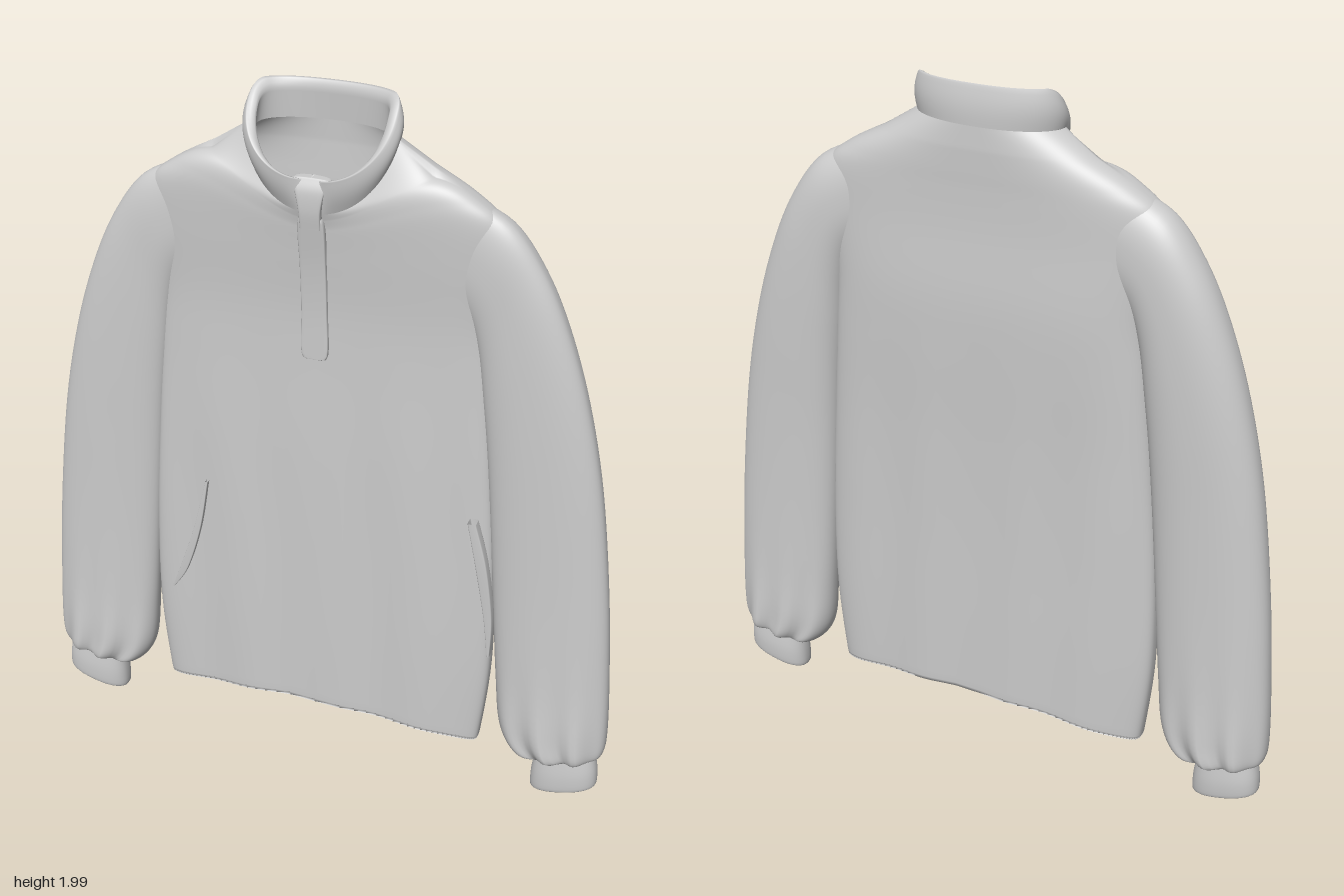
import * as THREE from 'three';

const material = new THREE.MeshStandardMaterial({ color: 0xcccccc, side: THREE.DoubleSide, roughness: 0.9 });
const TAU = Math.PI * 2;
const power = (v, e) => Math.sign(v) * Math.abs(v) ** e;
const clamp = (v) => Math.min(1, Math.max(0, v));
const smooth = (v) => { v = clamp(v); return v * v * (3 - 2 * v); };
const lerp = (a, b, t) => a.map((v, i) => v + (b[i] - v) * t);

// Smooth interpolation through a list of key rows, u = 0..1
function sample(keys, u) {
  const last = keys.length - 1;
  const i = Math.min(last - 1, Math.floor(u * last)), f = u * last - i;
  const a = keys[Math.max(0, i - 1)], b = keys[i], c = keys[i + 1], d = keys[Math.min(last, i + 2)];
  return b.map((v, k) => v + 0.5 * f * (c[k] - a[k]
    + f * (2 * a[k] - 5 * v + 4 * c[k] - d[k] + f * (3 * (v - c[k]) + d[k] - a[k]))));
}

// Skin of closed rings, bottom to top; point(u, angle) gives [x, y, z]
function loft(name, rows, segments, point) {
  const positions = [], index = [];
  for (let i = 0; i <= rows; i++) {
    for (let j = 0; j < segments; j++) {
      positions.push(...point(i / rows, j / segments * TAU));
      if (i === rows) continue;
      const a = i * segments + j, c = i * segments + (j + 1) % segments;
      index.push(a, a + segments, c, a + segments, c + segments, c);
    }
  }
  const geometry = new THREE.BufferGeometry();
  geometry.setAttribute('position', new THREE.Float32BufferAttribute(positions, 3));
  geometry.setIndex(index);
  geometry.computeVertexNormals();
  const mesh = new THREE.Mesh(geometry, material);
  mesh.name = name;
  return mesh;
}

// Seam where the collar meets the body: low in front, high behind
function neckBase(a) {
  const c = Math.cos(a), s = Math.sin(a);
  return [0.205 * power(c, 0.9), 1.89 - 0.19 * Math.max(0, s) ** 1.3, s > 0 ? 0.08 * s : 0.1 * s];
}

// Collar edge, sloping forward, with a small split at the centre front
function neckRim(a) {
  const c = Math.cos(a), s = Math.sin(a);
  const x = 0.195 * power(c, 0.85);
  const z = s > 0 ? 0.105 * power(s, 0.8) : 0.09 * power(s, 0.8);
  const y = 2 - 0.2 * clamp((z + 0.05) / 0.155) ** 1.5;
  const split = s > 0 ? Math.exp(-((x / 0.035) ** 2)) : 0;
  return [x, y - 0.01 * split, z - 0.035 * split];
}

// Body rows: height, half width, front z, back z, neckline drop, squareness
const bodyKeys = [
  [0.15, 0.485, 0.062, -0.08, 0, 3.2],
  [0.40, 0.51, 0.062, -0.082, 0, 3.2],
  [0.70, 0.505, 0.06, -0.084, 0, 3.2],
  [1.00, 0.485, 0.057, -0.09, 0, 3.2],
  [1.25, 0.465, 0.052, -0.1, 0, 3.2],
  [1.42, 0.455, 0.052, -0.104, 0, 3.2],
  [1.60, 0.48, 0.062, -0.098, 0.03, 3],
  [1.71, 0.475, 0.068, -0.098, 0.07, 2.8],
  [1.77, 0.41, 0.07, -0.1, 0.11, 2.7],
  [1.83, 0.30, 0.074, -0.102, 0.15, 2.5],
];

function bodyPoint(u, a) {
  const [y, w, front, back, drop, n] = sample(bodyKeys, u);
  const c = Math.cos(a), s = Math.sin(a);
  const x = w * power(c, 2 / n);
  const depth = Math.abs(power(s, 2 / n));
  const hem = 0.035 * (x / 0.48) ** 2 * (1 - smooth(u * 5));
  const dip = s > 0 ? drop * smooth(1 - Math.abs(x) / 0.38) : 0;
  // Soft vertical folds fading towards the shoulders
  const folds = 0.005 * Math.sin(x * 24 + y * 1.5) * (1 - smooth((y - 0.7) / 0.7)) * depth;
  return [x, y - hem - dip, (s > 0 ? front : back) * depth + folds];
}

function makeBody() {
  const body = loft('body', 84, 112, (u, a) => {
    // Turned-in hem, main panel, then blend into the neck seam
    if (u < 0.05) {
      const [x, y, z] = bodyPoint(0, a), t = 1 - u / 0.05;
      return [x * (1 - 0.02 * t), y + 0.08 * t, z * (1 - 0.2 * Math.min(1, t * 2))];
    }
    if (u < 0.9) return bodyPoint((u - 0.05) / 0.85, a);
    return lerp(bodyPoint(1, a), neckBase(a), (u - 0.9) / 0.1);
  });
  return body;
}

function makeCollar() {
  return loft('collar', 24, 96, (u, a) => {
    const base = neckBase(a), rim = neckRim(a);
    if (u < 0.5) {
      const t = u / 0.5, p = lerp(base, rim, t);
      const bulge = 1 + 0.05 * Math.sin(t * Math.PI);
      return [p[0] * bulge, p[1], p[2] * bulge];
    }
    // Rounded edge and inner wall
    const t = (u - 0.5) / 0.5, p = lerp(rim, base, t * 0.95);
    const inset = 1 - 0.13 * Math.min(1, t * 5);
    return [p[0] * inset, p[1] + 0.006 * Math.sin(Math.min(1, t * 5) * Math.PI) - 0.004, p[2] * inset];
  });
}

// Sleeve rows: outer x, outer y, inner x, inner y, front z, back z
const sleeveKeys = [
  [0.830, 0.145, 0.655, 0.115, 0.052, -0.058],
  [0.850, 0.165, 0.595, 0.125, 0.072, -0.08],
  [0.856, 0.23, 0.548, 0.20, 0.074, -0.084],
  [0.848, 0.40, 0.528, 0.36, 0.066, -0.08],
  [0.825, 0.68, 0.508, 0.60, 0.06, -0.078],
  [0.783, 1.00, 0.488, 0.85, 0.058, -0.08],
  [0.728, 1.25, 0.470, 1.05, 0.057, -0.085],
  [0.662, 1.45, 0.450, 1.22, 0.055, -0.088],
  [0.590, 1.60, 0.430, 1.36, 0.052, -0.088],
  [0.500, 1.715, 0.400, 1.45, 0.05, -0.085],
  [0.380, 1.77, 0.340, 1.50, 0.04, -0.075],
];
// Cuff rows, from the inside over the open edge and up to the sleeve
const cuffKeys = [
  [0.818, 0.12, 0.668, 0.09, 0.043, -0.046],
  [0.830, 0.06, 0.662, 0.015, 0.043, -0.046],
  [0.840, 0.053, 0.650, 0.006, 0.053, -0.056],
  [0.838, 0.10, 0.650, 0.06, 0.055, -0.06],
  [0.828, 0.15, 0.658, 0.12, 0.05, -0.056],
];

function armPart(name, keys, rows, side, foldSize) {
  return loft(name, rows, 64, (u, angle) => {
    const a = angle * side;
    const [ox, oy, ix, iy, front, back] = sample(keys, u);
    const c = power(Math.cos(a), 0.85), s = power(Math.sin(a), 0.85);
    const t = (c + 1) / 2;
    // Gathers above the cuff
    const folds = foldSize * Math.sin(t * 19) * s * Math.exp(-(((u - 0.13) / 0.13) ** 2));
    return [side * (ix + (ox - ix) * t), iy + (oy - iy) * t, (s > 0 ? front : -back) * s + folds];
  });
}

// Thin padded strip; rows hold centre x, y, surface z, half width
function strip(name, keys, thickness) {
  return loft(name, 24, 20, (u, a) => {
    const [x, y, z, w] = sample(keys, u);
    return [x + w * power(Math.cos(a), 0.3), y, z + thickness * power(Math.sin(a), 0.3)];
  });
}

export function createModel() {
  const model = new THREE.Group();
  model.name = 'pullover';
  model.add(makeBody(), makeCollar());

  for (const [label, side] of [['left', 1], ['right', -1]]) {
    const arm = new THREE.Group();
    arm.name = label + 'Arm';
    arm.add(armPart('sleeve', sleeveKeys, 60, side, 0.012), armPart('cuff', cuffKeys, 16, side, 0));
    model.add(arm);
  }

  // Front placket with a narrower fastening at the collar
  model.add(strip('placket', [
    [0, 1.29, 0.052, 0.001], [0, 1.292, 0.052, 0.036], [0, 1.42, 0.053, 0.036],
    [0, 1.55, 0.062, 0.036], [0, 1.68, 0.08, 0.034], [0, 1.682, 0.08, 0.001]], 0.009));
  model.add(strip('collarFastening', [
    [0, 1.66, 0.078, 0.028], [0, 1.71, 0.084, 0.03], [0, 1.76, 0.082, 0.04],
    [0, 1.79, 0.07, 0.05], [0, 1.795, 0.066, 0.001]], 0.012));

  // Slanted pocket openings
  model.add(strip('rightPocket', [
    [-0.45, 0.45, 0.044, 0.003], [-0.41, 0.53, 0.05, 0.012],
    [-0.36, 0.68, 0.056, 0.01], [-0.325, 0.84, 0.058, 0.004]], 0.008));
  model.add(strip('leftPocket', [
    [0.515, 0.45, 0.045, 0.004], [0.51, 0.58, 0.052, 0.012],
    [0.485, 0.75, 0.06, 0.016], [0.455, 0.88, 0.062, 0.012]], 0.016));
  return model;
}
